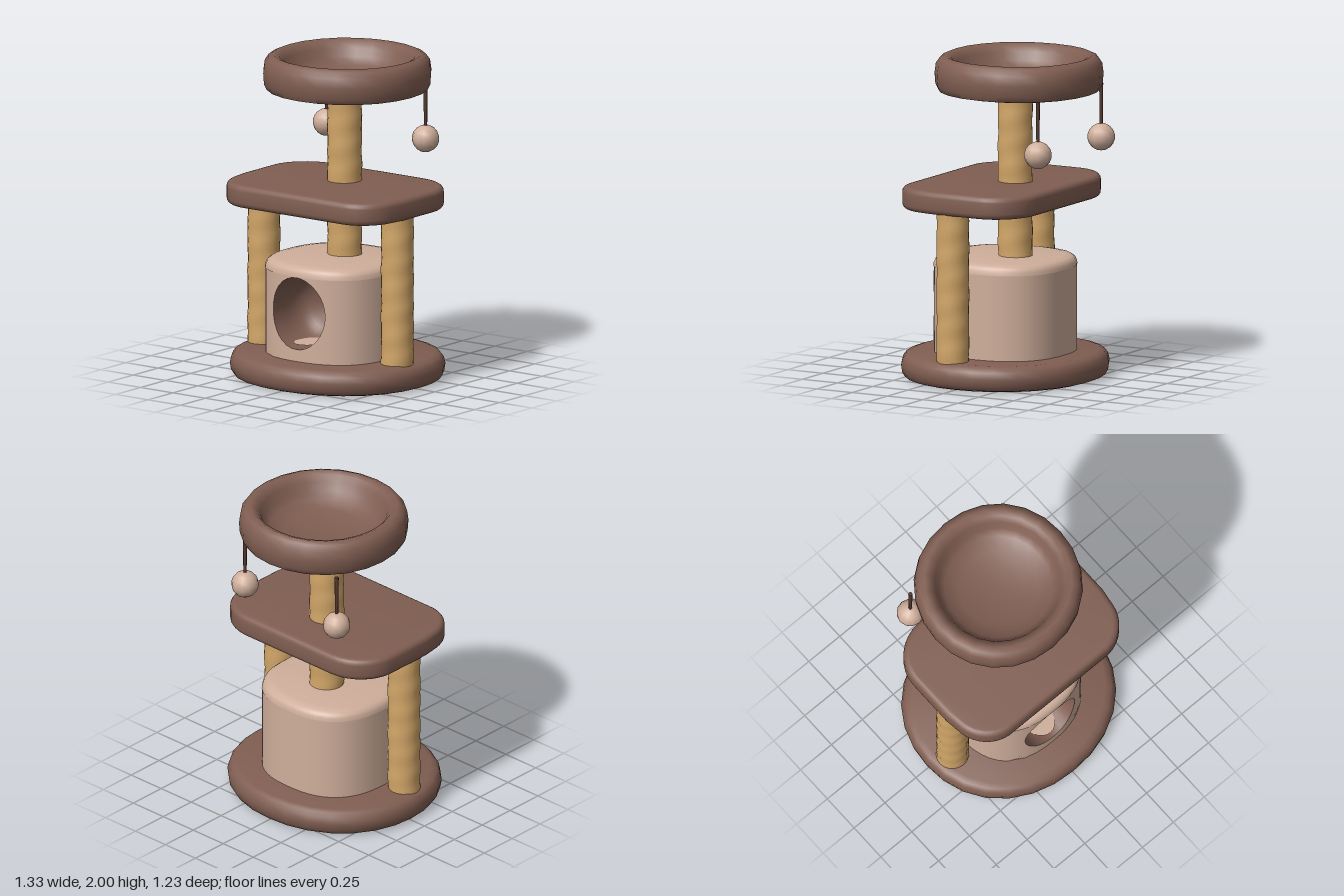
import * as THREE from 'three';
import { toCreasedNormals } from 'three/addons/utils/BufferGeometryUtils.js';
import { ParametricGeometry } from 'three/addons/geometries/ParametricGeometry.js';

const paint = (name, color) => {
  const m = new THREE.MeshStandardMaterial({ color });
  m.name = name;
  return m;
};

// Radius factor that turns a circle into a slightly squared round (n = 2 is a circle)
const squared = (a, n) => (Math.abs(Math.cos(a)) ** n + Math.abs(Math.sin(a)) ** n) ** (-1 / n);

export function createModel() {
  const group = new THREE.Group();
  group.name = 'catTree';
  const brown = paint('brown plush', 0x805e52);
  const cream = paint('cream plush', 0xcfae9b);
  const rope = paint('sisal rope', 0xd2a668);
  const cord = paint('dark cord', 0x55382f);

  const add = (name, geometry, material, x = 0, y = 0, z = 0) => {
    const mesh = new THREE.Mesh(geometry, material);
    mesh.name = name;
    mesh.position.set(x, y, z);
    group.add(mesh);
    return mesh;
  };
  const lathe = (pairs, segments, n) => {
    const geometry = new THREE.LatheGeometry(pairs.map(([r, y]) => new THREE.Vector2(r, y)), segments);
    const p = geometry.attributes.position;
    for (let i = 0; i < p.count; i++) {
      const k = squared(Math.atan2(p.getX(i), p.getZ(i)), n);
      p.setX(i, p.getX(i) * k);
      p.setZ(i, p.getZ(i) * k);
    }
    return toCreasedNormals(geometry, 0.9);
  };

  // Oval base with a padded rim
  const base = add('base', lathe([
    [0, 0], [0.6, 0], [0.64, 0.012], [0.658, 0.04], [0.665, 0.085],
    [0.655, 0.125], [0.635, 0.15], [0.6, 0.16], [0, 0.165],
  ], 28, 2.13), brown);
  base.scale.z = 0.925;

  // Rope posts with gentle, uneven winding
  const post = (name, x, z, r, y0, y1) => {
    const rings = Math.round((y1 - y0) / 0.035);
    const geometry = new THREE.CylinderGeometry(r, r, y1 - y0, 20, rings);
    const p = geometry.attributes.position;
    for (let i = 0; i < p.count; i++) {
      const a = Math.atan2(p.getZ(i), p.getX(i));
      const y = p.getY(i);
      const k = 1 + 0.018 * Math.sin(y * 42 + a) + 0.012 * Math.sin(y * 23 - 2 * a + x * 9);
      p.setX(i, p.getX(i) * k);
      p.setZ(i, p.getZ(i) * k);
    }
    add(name, toCreasedNormals(geometry, 0.9), rope, x, (y0 + y1) / 2, z);
  };
  post('mainPost', 0, -0.07, 0.106, 0.74, 1.8);
  for (const s of [-1, 1]) post(s > 0 ? 'leftPost' : 'rightPost', s * 0.515, 0.07, 0.1, 0.15, 1.1);

  // House: softly squared wall with an oval doorway
  const R = 0.413, N = 2.5, LOW = 0.15, HIGH = 0.7;
  const doorY = 0.46, doorA = 0.48, doorH = 0.225, patchA = 0.75;
  const onWall = (a, y, target) => {
    const r = R * squared(a, N);
    return target.set(r * Math.sin(a), y, r * Math.cos(a));
  };
  add('houseWall', new ParametricGeometry((u, v, t) =>
    onWall(patchA + u * (2 * Math.PI - 2 * patchA), LOW + v * (HIGH - LOW), t), 40, 1), cream);
  // Front panel that blends the oval doorway into a rectangle
  add('doorPanel', new ParametricGeometry((u, v, t) => {
    const c = Math.cos(v * 2 * Math.PI), s = Math.sin(v * 2 * Math.PI);
    const m = Math.max(Math.abs(c), Math.abs(s));
    const edgeY = s > 0 ? HIGH - doorY : doorY - LOW;
    const a = THREE.MathUtils.lerp(doorA * c, patchA * c / m, u);
    onWall(a, doorY + THREE.MathUtils.lerp(doorH * s, edgeY * s / m, u), t);
  }, 5, 32), cream);
  // Den behind the doorway, closing towards the back
  add('den', new ParametricGeometry((u, v, t) => {
    const a = v * 2 * Math.PI, depth = 1 - u;
    const f = Math.sqrt(Math.max(0, 1 - depth ** 5));
    onWall(doorA * Math.cos(a), 0, t);
    t.set(t.x * f, doorY + doorH * f * Math.sin(a), THREE.MathUtils.lerp(t.z, 0.06, depth));
  }, 16, 32), brown);
  const denFloor = new THREE.CircleGeometry(1, 24).scale(0.095, 0.12, 1).rotateX(-Math.PI / 2);
  add('denFloor', denFloor, cream, 0, 0.262, 0.27);
  add('houseRoof', lathe([
    [R + 0.003, 0.69], [R, 0.71], [0.405, 0.73], [0.385, 0.745], [0.34, 0.753], [0, 0.756],
  ], 40, N), cream);

  // Middle platform: straight front edge and broad rounded corners
  const outline = new THREE.Shape();
  outline.moveTo(-0.4, 0.47);
  outline.lineTo(0.4, 0.47);
  outline.bezierCurveTo(0.52, 0.46, 0.6, 0.36, 0.615, 0.27);
  outline.lineTo(0.632, 0.15);
  outline.lineTo(0.632, -0.17);
  outline.bezierCurveTo(0.63, -0.29, 0.52, -0.42, 0.36, -0.425);
  outline.lineTo(-0.36, -0.425);
  outline.bezierCurveTo(-0.52, -0.42, -0.63, -0.29, -0.632, -0.17);
  outline.lineTo(-0.632, 0.15);
  outline.lineTo(-0.615, 0.27);
  outline.bezierCurveTo(-0.6, 0.36, -0.52, 0.46, -0.4, 0.47);
  const slab = new THREE.ExtrudeGeometry(outline, {
    depth: 0.07, bevelThickness: 0.035, bevelSize: 0.035, bevelOffset: -0.035,
    bevelSegments: 4, curveSegments: 8,
  });
  slab.rotateX(Math.PI / 2);
  add('middlePlatform', toCreasedNormals(slab, 0.9), brown, 0, 1.18, 0);

  // Bowl-shaped bed on top
  add('topBed', lathe([
    [0, 1.785], [0.45, 1.778], [0.488, 1.786], [0.505, 1.82], [0.51, 1.89], [0.502, 1.95],
    [0.478, 1.985], [0.445, 2], [0.41, 1.985], [0.383, 1.95],
    [0.362, 1.9], [0.325, 1.86], [0.24, 1.83], [0.12, 1.812], [0, 1.806],
  ], 24, 2.1), brown, 0, 0, -0.097);

  // Hanging toys
  for (const [side, x] of [['right', -0.42], ['left', 0.345]]) {
    add(side + 'ToyCord', new THREE.CylinderGeometry(0.013, 0.01, 0.27, 8), cord, x, 1.655, -0.433);
    add(side + 'ToyBall', new THREE.SphereGeometry(0.085, 12, 9), cream, x, 1.457, -0.433);
  }

  return group;
}
